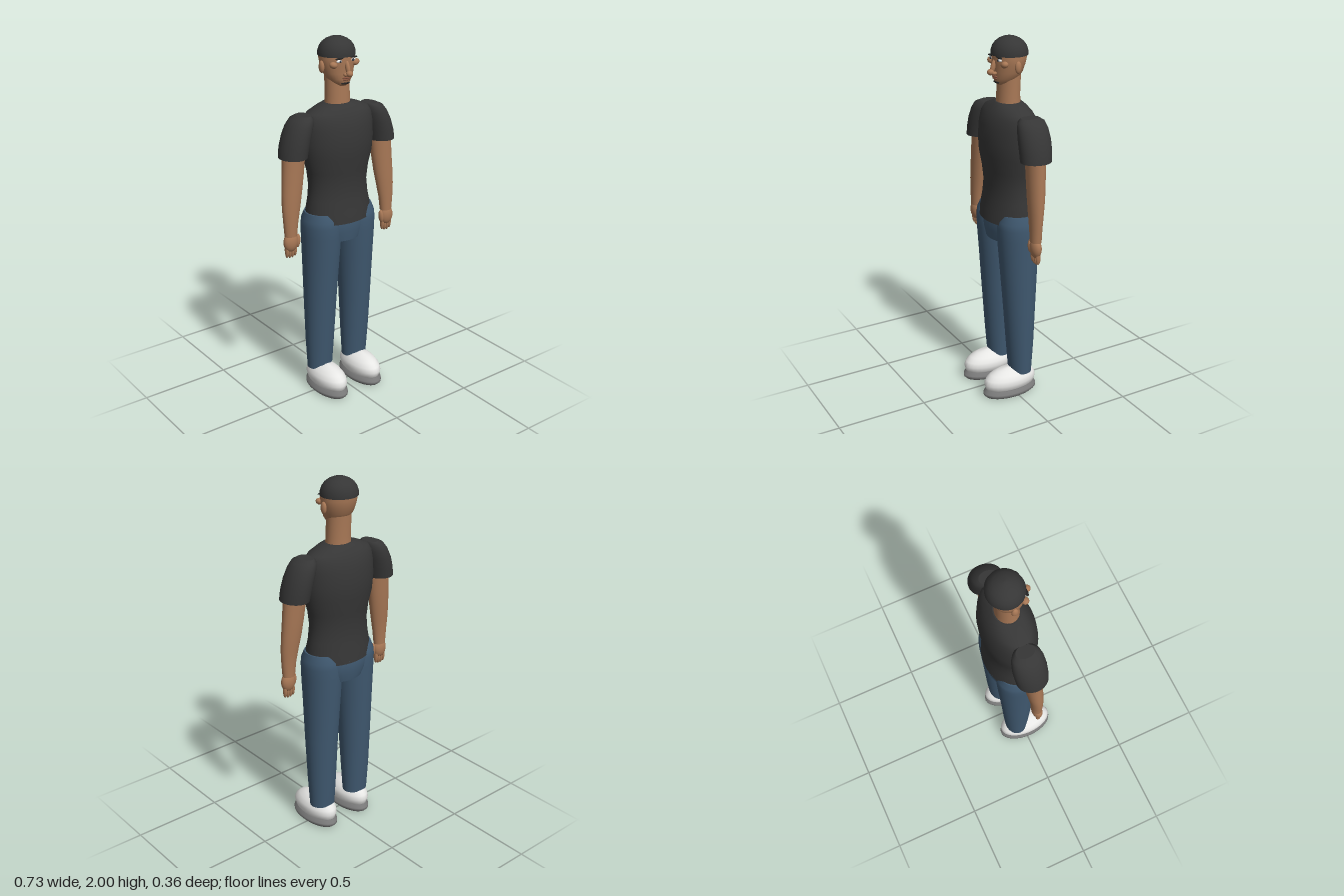
import * as THREE from 'three';

const mat = (name, color) => {
  const m = new THREE.MeshStandardMaterial({ color });
  m.name = name;
  return m;
};

// Closed solid from horizontal ellipses [y, cx, cz, rx, rz], listed bottom to top; s mirrors x
function loft(rows, s = 1, n = 32) {
  const pos = [], idx = [];
  const ring = ([y, cx, cz, rx, rz]) => {
    const start = pos.length / 3;
    for (let j = 0; j < n; j++) {
      const a = (j / n) * Math.PI * 2;
      pos.push(s * cx + rx * Math.cos(a), y, cz + rz * Math.sin(a));
    }
    return start;
  };
  const starts = rows.map(ring);
  for (let i = 0; i < rows.length - 1; i++) {
    for (let j = 0; j < n; j++) {
      const k = (j + 1) % n, p = starts[i], q = starts[i + 1];
      idx.push(p + j, q + j, p + k, p + k, q + j, q + k);
    }
  }
  // flat caps with their own vertices
  [rows[0], rows[rows.length - 1]].forEach((row, top) => {
    const r = ring(row), c = pos.length / 3;
    pos.push(s * row[1], row[0], row[2]);
    for (let j = 0; j < n; j++) {
      const k = (j + 1) % n;
      if (top) idx.push(c, r + k, r + j);
      else idx.push(c, r + j, r + k);
    }
  });
  const g = new THREE.BufferGeometry();
  g.setAttribute('position', new THREE.Float32BufferAttribute(pos, 3));
  g.setIndex(idx);
  g.computeVertexNormals();
  return g;
}

export function createModel() {
  const model = new THREE.Group();
  model.name = 'standingMan';
  const skin = mat('skin', 0xa87856);
  const black = mat('blackCloth', 0x363636);
  const denim = mat('denim', 0x3f586f);
  const white = mat('shoeWhite', 0xeeeeec);
  const grey = mat('soleGrey', 0x777777);
  const dark = mat('darkHair', 0x222222);
  const lip = mat('lip', 0x84533f);
  const iris = mat('iris', 0x3a3f48);

  const add = (name, geo, material) => {
    const m = new THREE.Mesh(geo, material);
    m.name = name;
    model.add(m);
    return m;
  };
  const blob = (name, material, x, y, z, rx, ry, rz, tilt = 0) => {
    const m = add(name, new THREE.SphereGeometry(1, 24, 16), material);
    m.position.set(x, y, z);
    m.scale.set(rx, ry, rz);
    m.rotation.z = tilt;
    return m;
  };

  // Shirt body and pelvis
  add('shirt', loft([
    [1.02, 0, -0.035, 0.195, 0.137], [1.08, 0, -0.036, 0.195, 0.130],
    [1.14, 0, -0.037, 0.183, 0.120], [1.22, 0, -0.038, 0.175, 0.115],
    [1.30, 0, -0.038, 0.184, 0.123], [1.38, 0, -0.038, 0.205, 0.136],
    [1.46, 0, -0.038, 0.213, 0.140], [1.54, 0, -0.038, 0.211, 0.132],
    [1.59, 0, -0.038, 0.205, 0.117], [1.62, 0, -0.038, 0.185, 0.101],
    [1.645, 0, -0.038, 0.125, 0.084], [1.66, 0, -0.038, 0.078, 0.068],
  ], 1, 48), black);
  add('pelvis', loft([
    [0.91, 0, -0.04, 0.14, 0.116], [0.96, 0, -0.042, 0.175, 0.124],
    [1.03, 0, -0.042, 0.19, 0.129], [1.06, 0, -0.04, 0.17, 0.11],
  ]), denim);

  for (const [s, side] of [[1, 'left'], [-1, 'right']]) {
    // Trouser leg
    add(side + 'Leg', loft([
      [0.125, 0.122, -0.046, 0.074, 0.062], [0.3, 0.122, -0.044, 0.083, 0.075],
      [0.55, 0.120, -0.04, 0.092, 0.090], [0.8, 0.115, -0.037, 0.102, 0.106],
      [0.94, 0.113, -0.035, 0.108, 0.115], [1.0, 0.114, -0.035, 0.108, 0.116],
      [1.035, 0.116, -0.035, 0.101, 0.113], [1.075, 0.118, -0.035, 0.084, 0.095],
    ], s), denim);

    // Shoe and sole
    add(side + 'Shoe', loft([
      [0.035, 0.12, 0.016, 0.06, 0.13], [0.05, 0.12, 0.017, 0.078, 0.15],
      [0.08, 0.12, 0.017, 0.086, 0.158], [0.105, 0.12, 0.015, 0.081, 0.149],
      [0.128, 0.12, 0.012, 0.066, 0.125], [0.145, 0.12, 0.01, 0.042, 0.085],
      [0.155, 0.12, 0.01, 0.008, 0.02],
    ], s), white);
    add(side + 'Sole', loft([
      [0, 0.12, 0.018, 0.077, 0.15], [0.012, 0.12, 0.018, 0.088, 0.162],
      [0.026, 0.12, 0.018, 0.088, 0.162], [0.04, 0.12, 0.018, 0.07, 0.14],
    ], s), grey);

    // Sleeve and bare arm
    add(side + 'Sleeve', loft([
      [1.41, 0.288, -0.035, 0.074, 0.084], [1.46, 0.279, -0.037, 0.076, 0.087],
      [1.52, 0.262, -0.039, 0.074, 0.088], [1.57, 0.243, -0.04, 0.069, 0.083],
      [1.605, 0.228, -0.04, 0.056, 0.073], [1.62, 0.215, -0.04, 0.035, 0.05],
    ], s), black);
    add(side + 'Arm', loft([
      [0.985, 0.322, -0.018, 0.035, 0.029], [1.06, 0.320, -0.018, 0.043, 0.031],
      [1.14, 0.314, -0.021, 0.053, 0.036], [1.22, 0.305, -0.026, 0.059, 0.042],
      [1.32, 0.294, -0.030, 0.063, 0.046], [1.43, 0.284, -0.033, 0.066, 0.050],
    ], s), skin);

    // Hand, four fingers and thumb
    blob(side + 'Palm', skin, s * 0.325, 0.95, -0.016, 0.042, 0.055, 0.028);
    for (let i = 0; i < 4; i++) {
      blob(side + 'Finger', skin, s * (0.298 + i * 0.017), 0.9 + (i === 0 || i === 3 ? 0.006 : 0), -0.018,
        0.010, 0.042, 0.014);
    }
    blob(side + 'Thumb', skin, s * 0.284, 0.95, -0.01, 0.014, 0.038, 0.015, s * 0.1);

    // Ear, cheek, eye and brow
    blob(side + 'Ear', skin, s * 0.098, 1.853, -0.04, 0.013, 0.032, 0.018);
    blob(side + 'Cheek', skin, s * 0.07, 1.868, 0.024, 0.022, 0.017, 0.019, s * 0.3);
    blob(side + 'Eye', white, s * 0.042, 1.887, 0.037, 0.018, 0.008, 0.009);
    blob(side + 'Iris', iris, s * 0.04, 1.887, 0.044, 0.007, 0.007, 0.004);
    blob(side + 'Brow', dark, s * 0.043, 1.901, 0.04, 0.026, 0.005, 0.009, -s * 0.06);
    blob(side + 'Nostril', skin, s * 0.014, 1.817, 0.052, 0.011, 0.01, 0.014);
  }

  // Neck and head
  add('neck', loft([
    [1.63, 0, -0.038, 0.072, 0.063], [1.7, 0, -0.038, 0.068, 0.06], [1.82, 0, -0.043, 0.068, 0.06],
  ]), skin);
  add('head', loft([
    [1.753, 0, -0.01, 0.03, 0.036], [1.768, 0, -0.015, 0.049, 0.052],
    [1.79, 0, -0.024, 0.068, 0.066], [1.82, 0, -0.034, 0.083, 0.077],
    [1.86, 0, -0.04, 0.093, 0.085], [1.89, 0, -0.042, 0.097, 0.09],
    [1.93, 0, -0.044, 0.094, 0.09],
  ]), skin);

  // Close-fitting cap
  add('cap', loft([
    [1.905, 0, -0.045, 0.1, 0.096], [1.925, 0, -0.045, 0.1, 0.096],
    [1.95, 0, -0.045, 0.092, 0.088], [1.97, 0, -0.045, 0.078, 0.074],
    [1.985, 0, -0.045, 0.058, 0.055], [1.996, 0, -0.045, 0.032, 0.03],
    [2, 0, -0.045, 0.004, 0.004],
  ], 1, 40), black);

  // Nose, lips and chin beard
  const bridge = blob('noseBridge', skin, 0, 1.852, 0.05, 0.012, 0.04, 0.014);
  bridge.rotation.x = -0.3;
  blob('noseTip', skin, 0, 1.822, 0.066, 0.018, 0.016, 0.019);
  blob('upperLip', lip, 0, 1.798, 0.042, 0.026, 0.006, 0.009);
  blob('lowerLip', lip, 0, 1.789, 0.041, 0.022, 0.006, 0.009);
  blob('chinBeard', dark, 0, 1.768, 0.032, 0.028, 0.006, 0.01);

  return model;
}
